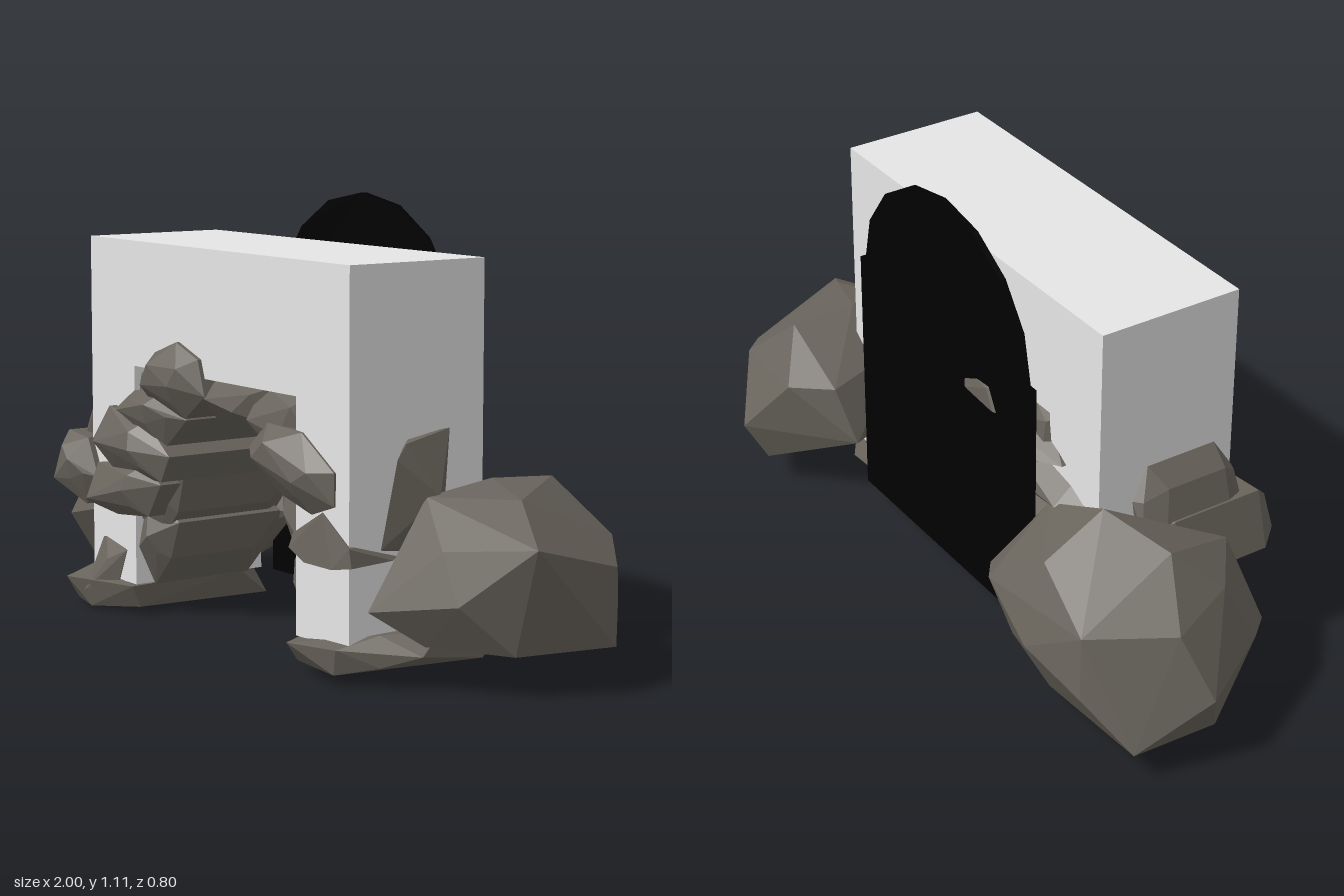
import * as THREE from 'three';
import { ConvexGeometry } from 'three/addons/geometries/ConvexGeometry.js';

export function createModel() {
  const group = new THREE.Group();
  const mat = (name, color) => Object.assign(new THREE.MeshStandardMaterial({ color, flatShading: true }), { name });
  const stone = mat('brown grey stone', 0x69645c);
  const block = mat('light grey block', 0xe6e6e6);
  const dark = mat('cave black', 0x010101);

  const add = (name, geometry, material) => {
    const mesh = new THREE.Mesh(geometry, material);
    mesh.name = name;
    group.add(mesh);
    return mesh;
  };

  // Box given by its x and y limits; all gate blocks share one depth
  const gateBlock = (name, x0, x1, y0, y1) => {
    add(name, new THREE.BoxGeometry(x1 - x0, y1 - y0, 0.397), block)
      .position.set((x0 + x1) / 2, (y0 + y1) / 2, 0.121);
  };
  gateBlock('rightPillar', -0.55, -0.337, 0.085, 0.663);
  gateBlock('leftPillar', 0.39, 0.603, 0.085, 0.663);
  gateBlock('lintel', -0.55, 0.603, 0.663, 0.988);

  // Dark arched panel closing the back of the cave
  const arch = new THREE.Shape();
  arch.moveTo(-0.375, 0.065);
  arch.lineTo(0.425, 0.065);
  arch.lineTo(0.425, 0.77);
  for (let i = 0; i <= 8; i++) {
    const a = (i / 8) * Math.PI;
    arch.lineTo(0.025 + 0.375 * Math.cos(a), 0.77 + 0.343 * Math.sin(a));
  }
  arch.lineTo(-0.375, 0.77);
  add('backPanel', new THREE.ExtrudeGeometry(arch, { depth: 0.016, bevelEnabled: false }), dark)
    .position.z = -0.159;

  // Large faceted boulders from a few corner points
  const boulder = (name, pts) =>
    add(name, new ConvexGeometry(pts.map((p) => new THREE.Vector3(...p))), stone);
  boulder('rightBoulder', [
    [-1, 0.2, -0.05], [-0.92, 0.36, -0.1], [-0.78, 0.49, -0.03], [-0.6, 0.54, -0.1],
    [-0.94, 0.08, -0.24], [-0.94, 0.07, 0], [-0.8, 0.36, -0.3], [-0.63, 0.25, -0.345],
    [-0.45, 0.34, -0.33], [-0.32, 0.27, -0.24], [-0.27, 0.24, -0.15], [-0.4, 0.45, -0.12],
    [-0.8, 0.2, 0.245], [-0.62, 0.24, 0.28], [-0.7, 0.4, 0.2], [-0.55, 0.07, 0.15],
    [-0.8, 0.08, 0.17], [-0.6, 0.07, -0.25], [-0.4, 0.1, -0.1], [-0.84, 0.38, 0.09],
    [-0.6, 0.45, -0.27], [-0.82, 0.2, -0.315], [-0.87, 0.22, 0.17], [-0.45, 0.14, -0.26],
  ]);
  boulder('leftBoulder', [
    [0.995, 0.36, 0.08], [0.92, 0.1, 0.08], [0.94, 0.09, -0.21], [0.94, 0.28, -0.21],
    [0.84, 0.445, 0.0], [0.67, 0.47, -0.05], [0.68, 0.46, -0.23], [0.68, 0.19, -0.4],
    [0.67, 0.19, 0.315], [0.8, 0.34, 0.2], [0.65, 0.44, 0.13], [0.75, 0.11, 0.21],
    [0.66, 0.08, -0.34], [0.42, 0.2, -0.19], [0.48, 0.35, -0.22], [0.6, 0.1, 0],
    [0.86, 0.22, 0.2], [0.55, 0.38, 0.05], [0.75, 0.07, -0.2], [0.82, 0.33, -0.3],
    [0.56, 0.35, -0.32], [0.9, 0.2, -0.25],
  ]);
  boulder('leftSideRock', [
    [0.61, 0.59, 0.03], [0.57, 0.58, 0.12], [0.625, 0.565, 0.17], [0.63, 0.53, 0.2],
    [0.62, 0.32, 0.24], [0.665, 0.44, 0.1], [0.57, 0.3, 0.18], [0.62, 0.3, 0.06], [0.57, 0.42, 0.05],
  ]);

  // Foot slabs under the pillars, with a spur at the front
  boulder('rightFootRock', [
    [-0.7, 0.05, 0.2], [-0.69, 0.02, 0.05], [-0.6, 0.01, 0.34], [-0.56, 0.08, 0.4],
    [-0.5, 0.005, 0.36], [-0.35, 0.02, 0.3], [-0.34, 0.08, 0.33], [-0.33, 0.09, 0.0],
    [-0.36, 0.01, -0.11], [-0.5, 0.0, -0.12], [-0.4, 0.08, -0.09], [-0.64, 0.06, -0.08],
    [-0.6, 0.11, 0.25], [-0.6, 0.11, 0.02],
  ]);
  boulder('rightFootSpur', [
    [-0.5, 0.21, 0.31], [-0.57, 0.06, 0.3], [-0.5, 0.05, 0.38], [-0.44, 0.14, 0.345],
    [-0.38, 0.17, 0.32], [-0.42, 0.06, 0.33], [-0.45, 0.1, 0.28],
  ]);
  boulder('leftFootRock', [
    [0.38, 0.08, 0.3], [0.41, 0.03, 0.33], [0.42, 0.08, 0.37], [0.57, 0.025, 0.34],
    [0.59, 0.09, 0.35], [0.66, 0.05, 0.27], [0.73, 0.08, 0.2], [0.7, 0.13, 0.12],
    [0.68, 0.04, -0.02], [0.6, 0.03, -0.1], [0.42, 0.03, -0.09], [0.39, 0.09, -0.07],
    [0.64, 0.12, -0.06], [0.63, 0.12, 0.25],
  ]);

  // Collar round the left pillar
  boulder('leftCollar', [
    [0.38, 0.3, 0.335], [0.385, 0.335, 0.325], [0.45, 0.275, 0.34], [0.5, 0.4, 0.322],
    [0.56, 0.275, 0.34], [0.62, 0.285, 0.325], [0.61, 0.33, 0.325], [0.615, 0.29, 0.2],
    [0.38, 0.29, 0.0], [0.5, 0.35, 0.0],
  ]);

  // Arch stone: front outline carried from back to front, with faceted ends
  const archStone = (name, outline, back, front) => {
    const n = outline.length;
    const cx = outline.reduce((t, p) => t + p[0], 0) / n;
    const cy = outline.reduce((t, p) => t + p[1], 0) / n;
    const pts = [];
    outline.forEach(([x, y], i) => {
      const k = i % 2 ? 0.3 : 0.6;
      const nx = cx + (x - cx) * k, ny = cy + (y - cy) * k;
      pts.push([x, y, front - 0.05], [x, y, back + 0.05 + 0.03 * (i % 3)]);
      pts.push([nx, ny, front - 0.012 * (i % 3)], [nx, ny, back + 0.015 * (i % 3)]);
    });
    boulder(name, pts);
  };

  // Inner walls of the opening
  archStone('rightInnerLower', [[-0.45, 0.08], [-0.335, 0.08], [-0.26, 0.16], [-0.22, 0.26], [-0.3, 0.31], [-0.45, 0.3]], -0.11, 0.31);
  archStone('rightInnerUpper', [[-0.45, 0.25], [-0.27, 0.22], [-0.21, 0.29], [-0.18, 0.39], [-0.23, 0.47], [-0.45, 0.47]], -0.13, 0.32);
  archStone('leftInnerLower', [[0.48, 0.08], [0.4, 0.08], [0.33, 0.14], [0.3, 0.25], [0.36, 0.31], [0.48, 0.3]], -0.1, 0.31);
  archStone('leftInnerUpper', [[0.48, 0.22], [0.34, 0.22], [0.29, 0.3], [0.25, 0.41], [0.29, 0.49], [0.48, 0.48]], -0.11, 0.31);

  // Stones of the arch, from the right foot over the crown to the left
  archStone('rightOuterStone', [[-0.69, 0.31], [-0.56, 0.27], [-0.5, 0.35], [-0.55, 0.45], [-0.65, 0.46]], 0.0, 0.385);
  archStone('rightUpperOuterStone', [[-0.66, 0.4], [-0.54, 0.36], [-0.535, 0.5], [-0.57, 0.59], [-0.62, 0.54]], 0.0, 0.3);
  archStone('rightShoulderStone', [[-0.56, 0.28], [-0.4, 0.265], [-0.25, 0.28], [-0.19, 0.37], [-0.25, 0.42], [-0.5, 0.39]], -0.1, 0.385);
  archStone('rightHaunchStone', [[-0.51, 0.46], [-0.4, 0.38], [-0.18, 0.38], [-0.14, 0.45], [-0.25, 0.53], [-0.43, 0.55]], -0.13, 0.39);
  archStone('rightSpringStone', [[-0.41, 0.55], [-0.19, 0.46], [-0.08, 0.55], [-0.15, 0.63], [-0.33, 0.6]], -0.14, 0.375);
  archStone('rightCornerStone', [[-0.38, 0.5], [-0.2, 0.5], [-0.13, 0.6], [-0.2, 0.67], [-0.38, 0.67]], -0.1, 0.315);
  archStone('crownStone', [[-0.27, 0.62], [-0.22, 0.57], [-0.08, 0.555], [0.01, 0.62], [-0.02, 0.71], [-0.12, 0.745], [-0.22, 0.71]], -0.165, 0.38);
  archStone('crownLeftStone', [[-0.05, 0.62], [-0.01, 0.56], [0.1, 0.55], [0.23, 0.57], [0.26, 0.67], [0, 0.67]], -0.12, 0.33);
  archStone('leftSpringStone', [[0.14, 0.59], [0.18, 0.53], [0.28, 0.48], [0.44, 0.52], [0.42, 0.67], [0.2, 0.67]], -0.12, 0.33);
  archStone('leftHaunchStone', [[0.2, 0.52], [0.34, 0.42], [0.46, 0.39], [0.55, 0.42], [0.55, 0.5], [0.42, 0.58], [0.28, 0.59]], -0.12, 0.375);

  return group;
}
